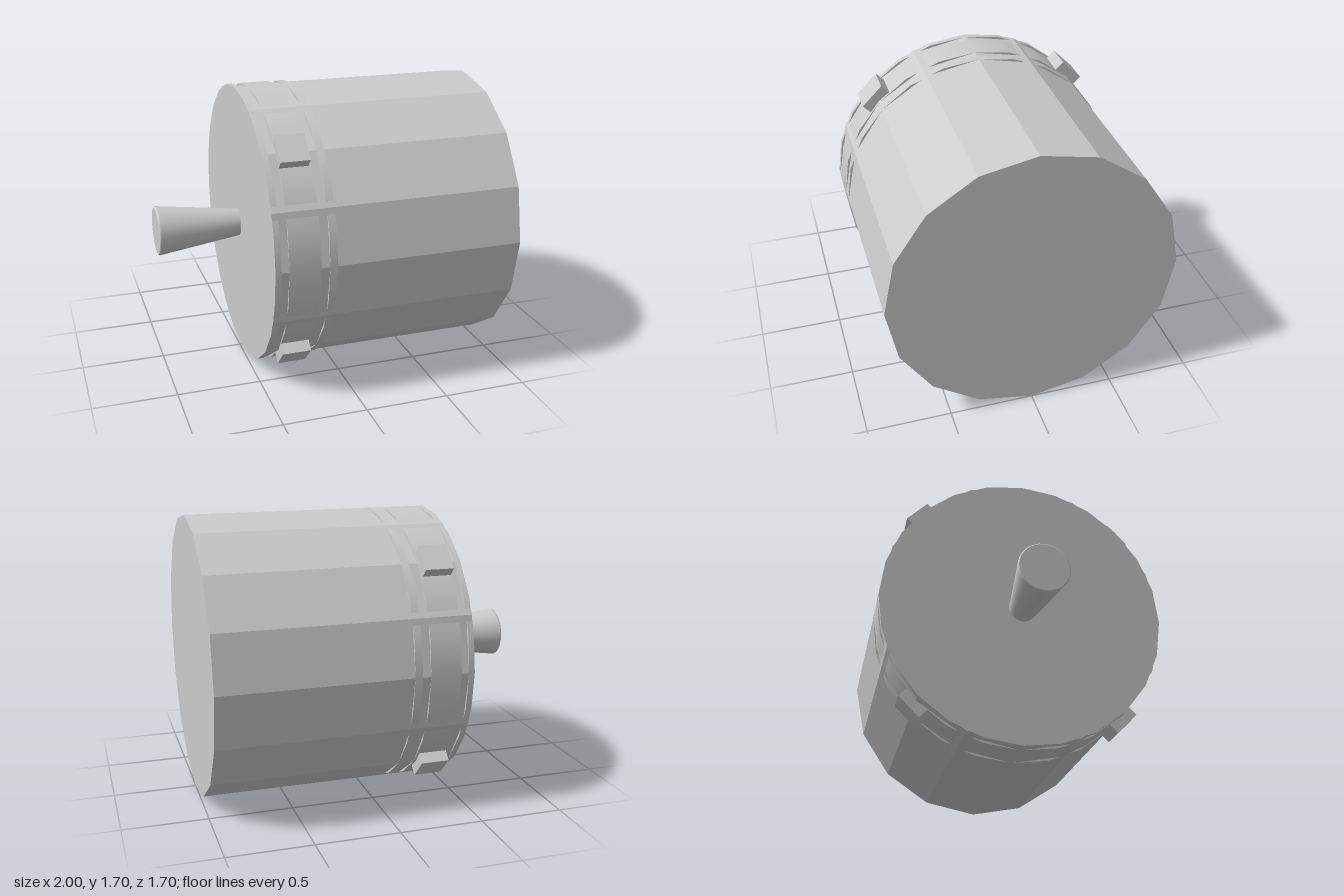
import * as THREE from 'three';

const R = 0.85;
const smooth = new THREE.MeshStandardMaterial({ color: 0xcccccc });
const flat = new THREE.MeshStandardMaterial({ color: 0xcccccc, flatShading: true });

export function createModel() {
  const group = new THREE.Group();
  const add = (name, geometry, material) => {
    const mesh = new THREE.Mesh(geometry, material);
    mesh.name = name;
    mesh.position.y = R;
    group.add(mesh);
    return mesh;
  };

  // Closed drum lying along x, from x0 to x1
  const drum = (x0, x1, sides) =>
    new THREE.CylinderGeometry(R, R, x1 - x0, sides)
      .rotateZ(-Math.PI / 2)
      .translate((x0 + x1) / 2, 0, 0);

  // Faceted main body
  add('body', drum(-0.49, 1, 16), flat);

  // Finer bands whose facets stand just proud of the body
  [[-0.49, -0.455], [-0.41, -0.225], [-0.175, -0.13]].forEach(([a, b], i) =>
    add('band' + (i + 1), drum(a, b, 24), smooth));

  // Four blocks on the wide band, on the diagonals
  for (let i = 0; i < 4; i++) {
    const block = new THREE.BoxGeometry(0.17, 0.12, 0.17).translate(-0.325, 0.845, 0);
    add('block' + (i + 1), block, flat).rotation.x = Math.PI / 4 + i * Math.PI / 2;
  }

  // Flared nozzle with a softened rim
  const side = [[0.08, -0.47], [0.149, -0.985], [0.15, -0.992], [0.147, -0.998], [0.142, -1]];
  const profile = side.map(([r, x]) => new THREE.Vector2(r, x)).reverse();
  add('nozzle', new THREE.LatheGeometry(profile, 32).rotateZ(-Math.PI / 2), smooth);
  add('nozzleCap', new THREE.CircleGeometry(0.142, 32).rotateY(-Math.PI / 2).translate(-1, 0, 0), smooth);

  return group;
}
